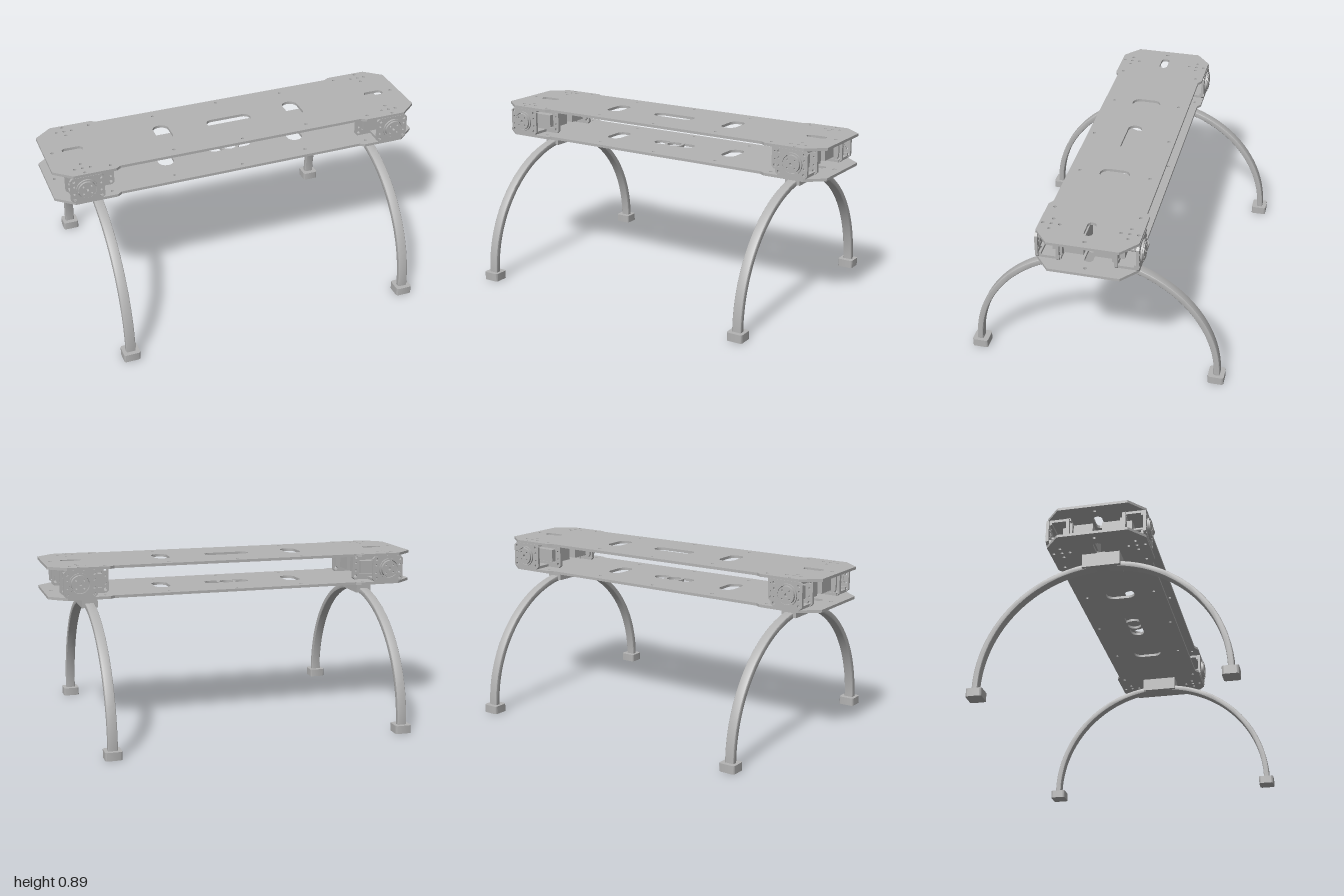
import * as THREE from 'three';
import { toCreasedNormals } from 'three/addons/utils/BufferGeometryUtils.js';

const grey = new THREE.MeshStandardMaterial({ color: 0xb3b3b3 });
grey.name = 'plain grey';

function add(parent, name, geometry, x = 0, y = 0, z = 0) {
  const mesh = new THREE.Mesh(geometry, grey);
  mesh.name = name;
  mesh.position.set(x, y, z);
  parent.add(mesh);
  return mesh;
}

const extrude = (shape, depth, extra = {}) => toCreasedNormals(
  new THREE.ExtrudeGeometry(shape, { depth, bevelEnabled: false, curveSegments: 10, ...extra }), 0.5);

// Box given by its limits on each axis
function block(parent, name, x0, x1, y0, y1, z0, z1) {
  const g = new THREE.BoxGeometry(Math.abs(x1 - x0), y1 - y0, z1 - z0);
  return add(parent, name, g, (x0 + x1) / 2, (y0 + y1) / 2, (z0 + z1) / 2);
}

function round(x, y, r) {
  const p = new THREE.Path();
  p.absarc(x, y, r, 0, Math.PI * 2, true);
  return p;
}

// Rounded rectangle path centred on x, y
function roundedRect(x, y, hw, hh, r, Kind = THREE.Path) {
  const p = new Kind();
  p.absarc(x + hw - r, y + hh - r, r, 0, Math.PI / 2);
  p.absarc(x - hw + r, y + hh - r, r, Math.PI / 2, Math.PI);
  p.absarc(x - hw + r, y - hh + r, r, Math.PI, Math.PI * 1.5);
  p.absarc(x + hw - r, y - hh + r, r, Math.PI * 1.5, Math.PI * 2);
  p.closePath();
  return p;
}

// Rectangle with chamfered corners and a hole near each corner
function bracketShape(x0, x1, h, chamfer) {
  const [a, b] = [Math.min(x0, x1), Math.max(x0, x1)], c = chamfer;
  const s = new THREE.Shape([[a + c, -h], [b - c, -h], [b, c - h], [b, h - c],
    [b - c, h], [a + c, h], [a, h - c], [a, c - h]].map(p => new THREE.Vector2(...p)));
  for (const x of [a + 0.018, b - 0.018]) for (const y of [-1, 1]) {
    s.holes.push(round(x, y * (h - 0.018), 0.009), round(x, y * 0.021, 0.006));
  }
  return s;
}

// Deck outline: wide chamfered ends, narrower middle
function deckGeometry(isTop) {
  const quarter = [[1, 0.177], [0.91, 0.252], [0.69, 0.252], [0.665, 0.235]];
  const back = [...quarter].reverse();
  const pts = [...quarter, ...back.map(([x, z]) => [-x, z]),
    ...quarter.map(([x, z]) => [-x, -z]), ...back.map(([x, z]) => [x, -z])];
  const s = new THREE.Shape(pts.map(p => new THREE.Vector2(...p)));
  for (const i of [-1, 1]) {
    s.holes.push(roundedRect(i * 0.367, 0, 0.042, 0.077, 0.04));
    s.holes.push(roundedRect(i * 0.852, 0, 0.054, 0.022, 0.021));
    s.holes.push(round(i * 0.957, 0, 0.009), round(0, i * 0.203, 0.008));
    for (const j of [-1, 1]) {
      const screws = [[0.71, 0.213], [0.367, 0.182], [0.848, 0.234],
        [0.888, 0.192], [0.848, 0.192], [0.808, 0.192], [0.848, 0.15]];
      for (const [x, z] of screws) s.holes.push(round(i * x, j * z, 0.008));
    }
  }
  if (isTop) {
    s.holes.push(roundedRect(0, 0, 0.122, 0.037, 0.036));
  } else {
    // Centre hole with a slot on each side
    s.holes.push(round(0, 0, 0.038));
    for (const i of [0, Math.PI]) {
      const slot = new THREE.Path();
      const a = Math.asin(0.037 / 0.054);
      slot.absarc(0, 0, 0.054, i + a, i - a, true);
      slot.absarc(Math.cos(i) * 0.085, 0, 0.037, i - Math.PI / 2, i + Math.PI / 2);
      slot.closePath();
      s.holes.push(slot);
    }
  }
  return extrude(s, 0.014).rotateX(-Math.PI / 2);
}

// Servo in its bracket: the shaft is the local z axis, s is the side of the long end
function servoUnit(s) {
  const g = new THREE.Group();
  g.name = 'servoUnit';
  const cyl = (name, r, z0, z1) =>
    add(g, name, new THREE.CylinderGeometry(r, r, z1 - z0, 28).rotateX(Math.PI / 2), 0, 0, (z0 + z1) / 2);

  // Servo
  block(g, 'servoBody', s * -0.043, s * 0.13, -0.043, 0.043, 0.024, 0.136);
  block(g, 'servoGearCase', s * -0.043, s * 0.13, -0.034, 0.034, 0.136, 0.177);
  block(g, 'servoFlange', s * -0.07, s * 0.16, -0.041, 0.041, 0.122, 0.134);
  cyl('servoShaft', 0.012, 0.175, 0.25);

  // Inner mounting frame with a window for the servo
  const inner = bracketShape(s * -0.085, s * 0.168, 0.07, 0.012);
  inner.holes.push(roundedRect(s * 0.0435, 0, 0.088, 0.042, 0.004));
  add(g, 'innerFrame', extrude(inner, 0.016), 0, 0, 0.135);

  // Outer frame around the hub
  const outer = bracketShape(s * -0.083, s * 0.092, 0.07, 0.014);
  outer.holes.push(round(0, 0, 0.049));
  add(g, 'outerFrame', extrude(outer, 0.014), 0, 0, 0.24);

  const ring = new THREE.Shape().absarc(0, 0, 0.056, 0, Math.PI * 2);
  ring.holes.push(round(0, 0, 0.049));
  add(g, 'bearingRing', extrude(ring, 0.025), 0, 0, 0.238);

  const hub = new THREE.Shape().absarc(0, 0, 0.045, 0, Math.PI * 2);
  hub.holes.push(round(0, 0, 0.008));
  for (let i = 0; i < 4; i++) {
    const a = (i + 0.5) * Math.PI / 2;
    hub.holes.push(round(Math.cos(a) * 0.029, Math.sin(a) * 0.029, 0.005));
  }
  add(g, 'hub', extrude(hub, 0.022), 0, 0, 0.246);

  // Bracket walls against the two decks
  for (const y of [-1, 1]) {
    block(g, 'bracketWall', s * -0.07, s * 0.079, y * 0.063 - 0.007, y * 0.063 + 0.007, 0.13, 0.25);
    block(g, 'bracketRib', s * -0.07, s * 0.079, y * 0.051 - 0.008, y * 0.051 + 0.008, 0.228, 0.242);
  }
  return g;
}

// Half-round arch with softened edges
function archGeometry() {
  const s = new THREE.Shape();
  const b = 0.007;
  s.absarc(0, 0, 0.645 - b, 0, Math.PI);
  s.absarc(0, 0, 0.614 + b, Math.PI, 0, true);
  s.closePath();
  return extrude(s, 0.05 - 2 * b, {
    curveSegments: 48, bevelEnabled: true, bevelSize: b, bevelThickness: b, bevelSegments: 3,
  }).translate(0, 0, b - 0.025).rotateY(Math.PI / 2);
}

export function createModel() {
  const model = new THREE.Group();
  model.name = 'walkingFrame';

  add(model, 'bottomDeck', deckGeometry(false), 0, 0.725, 0);
  add(model, 'topDeck', deckGeometry(true), 0, 0.879, 0);

  const arch = archGeometry();
  const foot = extrude(roundedRect(0, 0, 0.043, 0.041, 0.012, THREE.Shape), 0.043).rotateX(-Math.PI / 2);

  for (const i of [-1, 1]) {
    // Leg pair
    const legs = new THREE.Group();
    legs.name = i > 0 ? 'leftLegs' : 'rightLegs';
    legs.position.x = i * 0.772;
    add(legs, 'legArch', arch, 0, 0.04, 0);
    block(legs, 'legMount', -0.042, 0.042, 0.653, 0.727, -0.097, 0.097);
    for (const j of [-1, 1]) add(legs, 'foot', foot, 0, 0, j * 0.627);
    model.add(legs);

    // Servos facing front and back
    for (const j of [-1, 1]) {
      const servo = servoUnit(-i * j);
      servo.position.set(i * 0.848, 0.809, 0);
      servo.rotation.y = j > 0 ? 0 : Math.PI;
      model.add(servo);
    }
  }
  return model;
}
